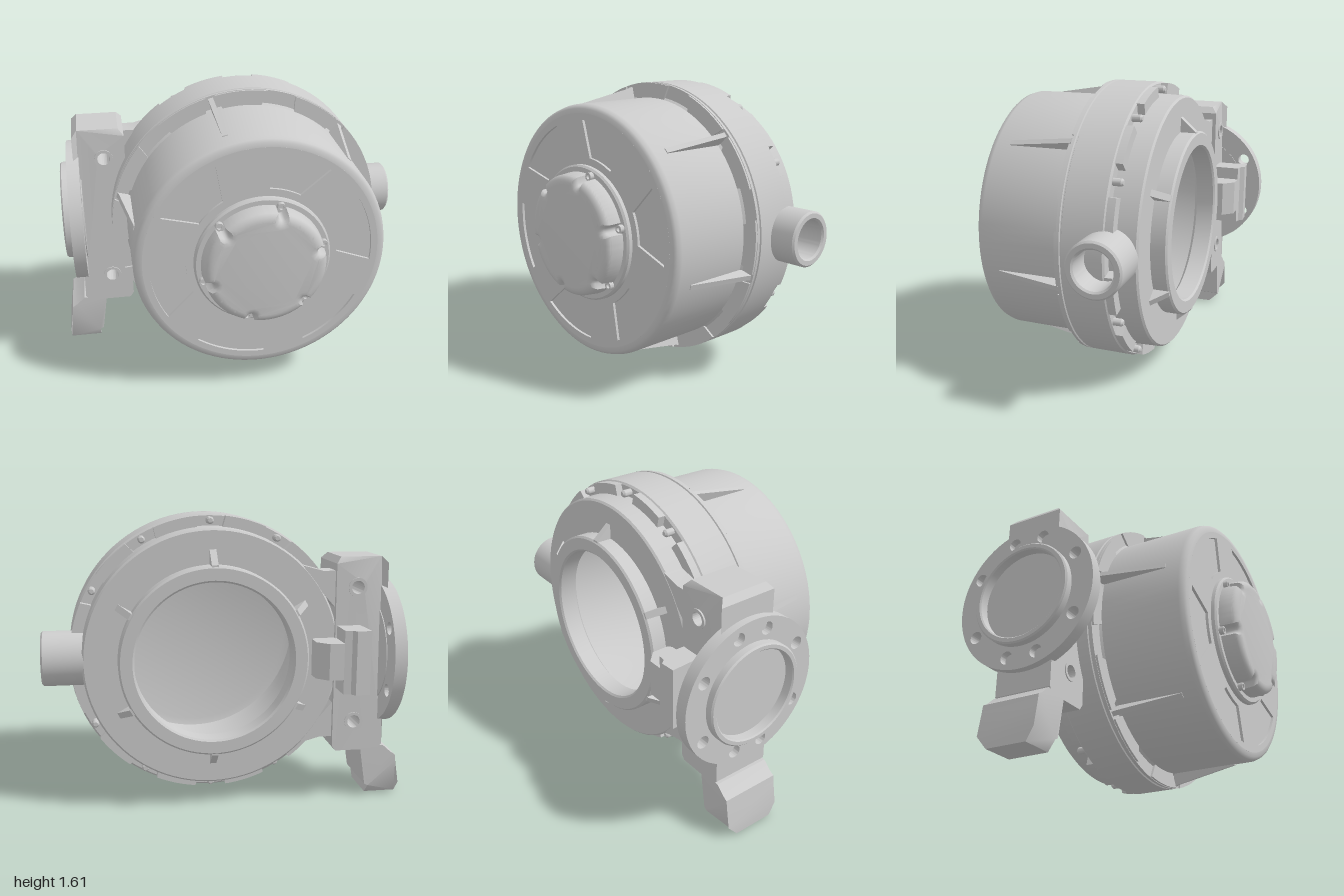
import * as THREE from 'three';
import { toCreasedNormals } from 'three/addons/utils/BufferGeometryUtils.js';

const CX = 0.075, CY = 0.83, PORT_Z = -0.24;
const RAD = Math.PI / 180;
const V = (p) => new THREE.Vector2(p[0], p[1]);

export function createModel() {
  const model = new THREE.Group();
  const mat = new THREE.MeshStandardMaterial({ color: 0xcccccc });

  function add(name, geo, parent = model) {
    const mesh = new THREE.Mesh(toCreasedNormals(geo, 0.6), mat);
    mesh.name = name;
    parent.add(mesh);
    return mesh;
  }
  // profile points are [radius, position along axis]
  const turnZ = (pts, n = 96) => new THREE.LatheGeometry(pts.map(V), n).rotateX(Math.PI / 2);
  const turnX = (pts, n = 64) => new THREE.LatheGeometry(pts.map(V), n).rotateZ(-Math.PI / 2);
  const poly = (pts) => new THREE.Shape(pts.map(V));
  const extrude = (shape, depth, z = 0) =>
    new THREE.ExtrudeGeometry(shape, { depth, bevelEnabled: false, curveSegments: 48 }).translate(0, 0, z);
  function circle(x, y, r) {
    return new THREE.Shape().absarc(x, y, r, 0, Math.PI * 2, false);
  }
  function sector(r0, r1, mid, half0, half1 = half0) {
    const s = new THREE.Shape();
    s.absarc(0, 0, r1, (mid - half1) * RAD, (mid + half1) * RAD, false);
    s.absarc(0, 0, r0, (mid + half0) * RAD, (mid - half0) * RAD, true);
    s.closePath();
    return s;
  }
  // moves vertices along z by a rule of (y, z)
  function shiftZ(geo, rule) {
    const p = geo.attributes.position;
    for (let i = 0; i < p.count; i++) p.setZ(i, p.getZ(i) + rule(p.getY(i), p.getZ(i)));
    return geo;
  }

  // Everything turned about the main axis
  const housing = new THREE.Group();
  housing.name = 'housing';
  housing.position.set(CX, CY, 0);
  model.add(housing);

  // Hollow shell: rear collar, rear step, wide flange, front drum, interior
  add('shell', turnZ([
    [0.43, -0.47], [0.44, -0.48], [0.505, -0.48], [0.515, -0.47], [0.515, -0.39],
    [0.695, -0.39], [0.705, -0.38], [0.71, -0.24], [0.765, -0.24], [0.775, -0.23],
    [0.775, -0.012], [0.768, -0.008], [0.768, -0.002], [0.775, 0.002], [0.775, 0.018],
    [0.7, 0.018], [0.69, 0.03], [0.688, 0.48], [0.68, 0.505], [0.665, 0.517], [0.64, 0.52],
    [0.64, 0.505], [0, 0.505], [0, 0.49], [0.6, 0.49], [0.64, 0.475], [0.66, 0.43],
    [0.66, -0.35], [0.46, -0.35], [0.43, -0.37], [0.43, -0.47],
  ]), housing);

  // Front face with six shallow windows
  const face = circle(0, 0, 0.641);
  for (let k = 0; k < 6; k++) {
    const w = sector(0.41, 0.605, 13 + 60 * k, 12, 19);
    face.holes.push(new THREE.Path(w.getPoints(16).reverse()));
  }
  add('frontFace', extrude(face, 0.016, 0.504), housing);

  // Hub ring and domed cap with bolt notches
  add('hubRing', turnZ([[0.33, 0.51], [0.37, 0.51], [0.37, 0.54], [0.36, 0.55], [0, 0.55]]), housing);
  const capPts = [];
  for (let i = 0; i < 216; i++) {
    const a = (i / 216) * 360;
    const d = Math.abs(((a - 15 + 390) % 60) - 30);
    const r = 0.335 - (d < 5 ? 0.04 * Math.sqrt(1 - (d / 5) ** 2) : 0);
    capPts.push([r * Math.cos(a * RAD), r * Math.sin(a * RAD)]);
  }
  const cap = new THREE.ExtrudeGeometry(poly(capPts), {
    depth: 0.08, bevelThickness: 0.03, bevelSize: 0.04, bevelOffset: -0.04, bevelSegments: 5,
  });
  // skirt tapers towards the front
  const cp = cap.attributes.position;
  for (let i = 0; i < cp.count; i++) {
    const k = Math.min(1, 1.04 - 0.8 * Math.max(0, cp.getZ(i)));
    cp.setXY(i, cp.getX(i) * k, cp.getY(i) * k);
  }
  add('cap', cap.translate(0, 0, 0.54), housing);

  for (let k = 0; k < 6; k++) {
    const a = (15 + 60 * k) * RAD;
    add('capBolt', turnZ([[0.022, 0.54], [0.022, 0.575], [0.013, 0.575], [0.013, 0.56], [0, 0.56]], 20)
      .translate(0.335 * Math.cos(a), 0.335 * Math.sin(a), 0), housing);

    // Tapered ribs on the drum (r, z outline swung round the axis)
    const rib = extrude(poly([[0.67, 0.01], [0.765, 0.01], [0.755, 0.04], [0.693, 0.4], [0.67, 0.4]]), 0.028, -0.014);
    add('drumRib', rib.rotateX(Math.PI / 2).rotateZ((45 + 60 * k) * RAD), housing);

    // Gussets from the rear face to the collar
    const gusset = extrude(poly([[0.5, -0.38], [0.5, -0.475], [0.52, -0.475], [0.595, -0.39], [0.595, -0.38]]), 0.036, -0.018);
    add('collarGusset', gusset.rotateX(Math.PI / 2).rotateZ((30 + 60 * k) * RAD), housing);

    // Raised pads on the flange front, either side of each rib
    for (const side of [-1, 1]) {
      add('flangePad', extrude(sector(0.69, 0.772, 45 + 60 * k + side * 13, 9, 11), 0.014, 0.016), housing);
    }
  }

  // Twelve flange bolts and the castellated rear edge between them
  for (let k = 0; k < 12; k++) {
    const a = 30 * k * RAD, x = 0.74 * Math.cos(a), y = 0.74 * Math.sin(a);
    const bolt = (pts) => add('flangeBolt', turnZ(pts, 20).translate(x, y, 0), housing);
    bolt([[0.02, 0.01], [0.02, 0.026], [0.013, 0.026], [0.013, 0.02], [0, 0.02]]);
    if (k > 0) bolt([[0, -0.295], [0.012, -0.295], [0.02, -0.285], [0.02, -0.23]]);
    add('edgeLug', extrude(sector(0.7, 0.768, 30 * k + 15, 9.5, 8.5), 0.05, -0.28), housing);
  }

  // Side outlet pipe, open towards the shell wall
  add('outletPipe', turnX([
    [0.15, 0.74], [0.15, 0.985], [0.14, 0.995], [0.115, 0.995], [0.105, 0.985], [0.105, 0.74],
  ])).position.set(0, CY, PORT_Z);

  // Mounting bracket with two through holes and a chamfered top
  const bracket = poly([
    [-0.89, 0.31], [-0.86, 0.28], [-0.62, 0.28], [-0.6, 0.31],
    [-0.6, 1.34], [-0.63, 1.375], [-0.86, 1.375], [-0.89, 1.34],
  ]);
  for (const y of [0.45, 1.21]) bracket.holes.push(circle(-0.72, y, 0.036));
  add('bracket', shiftZ(extrude(bracket, 0.33, -0.41), (y, z) => (y > 1.36 ? (z < -0.245 ? 0.03 : -0.03) : 0)));
  for (const y of [0.45, 1.21]) {
    const rim = circle(-0.72, y, 0.052);
    rim.holes.push(circle(-0.72, y, 0.036));
    add('holeRim', extrude(rim, 0.342, -0.416));
  }
  // Web joining the bracket to the housing
  add('bracketWeb', extrude(poly([
    [-0.62, 0.36], [-0.53, 0.36], [-0.42, 0.33], [-0.45, 0.39], [-0.6, 0.56],
    [-0.6, 1.1], [-0.45, 1.27], [-0.42, 1.33], [-0.53, 1.3], [-0.62, 1.3],
  ]), 0.12, -0.388));

  // Side flange with bolt holes and a raised recessed seat
  const disk = circle(0, 0, 0.41);
  disk.holes.push(circle(0, 0, 0.255));
  for (const a of [30, 75, 105, 150, 210, 255, 285, 330]) {
    disk.holes.push(circle(0.345 * Math.cos(a * RAD), 0.345 * Math.sin(a * RAD), 0.035));
  }
  add('sideFlange', extrude(disk, 0.07, -0.93).rotateY(Math.PI / 2)).position.set(0, CY, PORT_Z);
  add('flangeSeat', turnX([
    [0, -0.92], [0.25, -0.92], [0.25, -0.968], [0.257, -0.975], [0.277, -0.975], [0.285, -0.967],
    [0.285, -0.92],
  ])).position.set(0, CY, PORT_Z);
  add('flangeBack', new THREE.CylinderGeometry(0.29, 0.29, 0.03, 64).rotateZ(Math.PI / 2))
    .position.set(-0.87, CY, PORT_Z);

  // Rear clasp: tall jaw next to the flange, narrower tongue towards the housing
  const clasp = (name, pts, y0, y1) =>
    add(name, extrude(poly(pts), y1 - y0).rotateX(-Math.PI / 2)).position.set(0, y0, 0);
  clasp('claspJaw', [[-0.74, 0.4], [-0.61, 0.4], [-0.61, 0.56], [-0.65, 0.565], [-0.67, 0.59], [-0.75, 0.585]], 0.65, 1.0);
  clasp('claspTongue', [[-0.63, 0.38], [-0.5, 0.38], [-0.47, 0.41], [-0.47, 0.5], [-0.53, 0.56], [-0.63, 0.56]], 0.73, 0.93);

  // Lower hook, its bottom edges chamfered front and back
  const hook = extrude(poly([
    [-1, 0], [-0.82, 0], [-0.82, 0.06], [-0.8, 0.07], [-0.765, 0.3], [-0.9, 0.3],
    [-0.95, 0.255], [-0.975, 0.24], [-0.98, 0.2], [-1, 0.07],
  ]), 0.33, -0.41);
  add('lowerHook', shiftZ(hook, (y, z) => (y < 0.01 ? (z < -0.245 ? 0.06 : -0.04) : 0)));

  return model;
}
